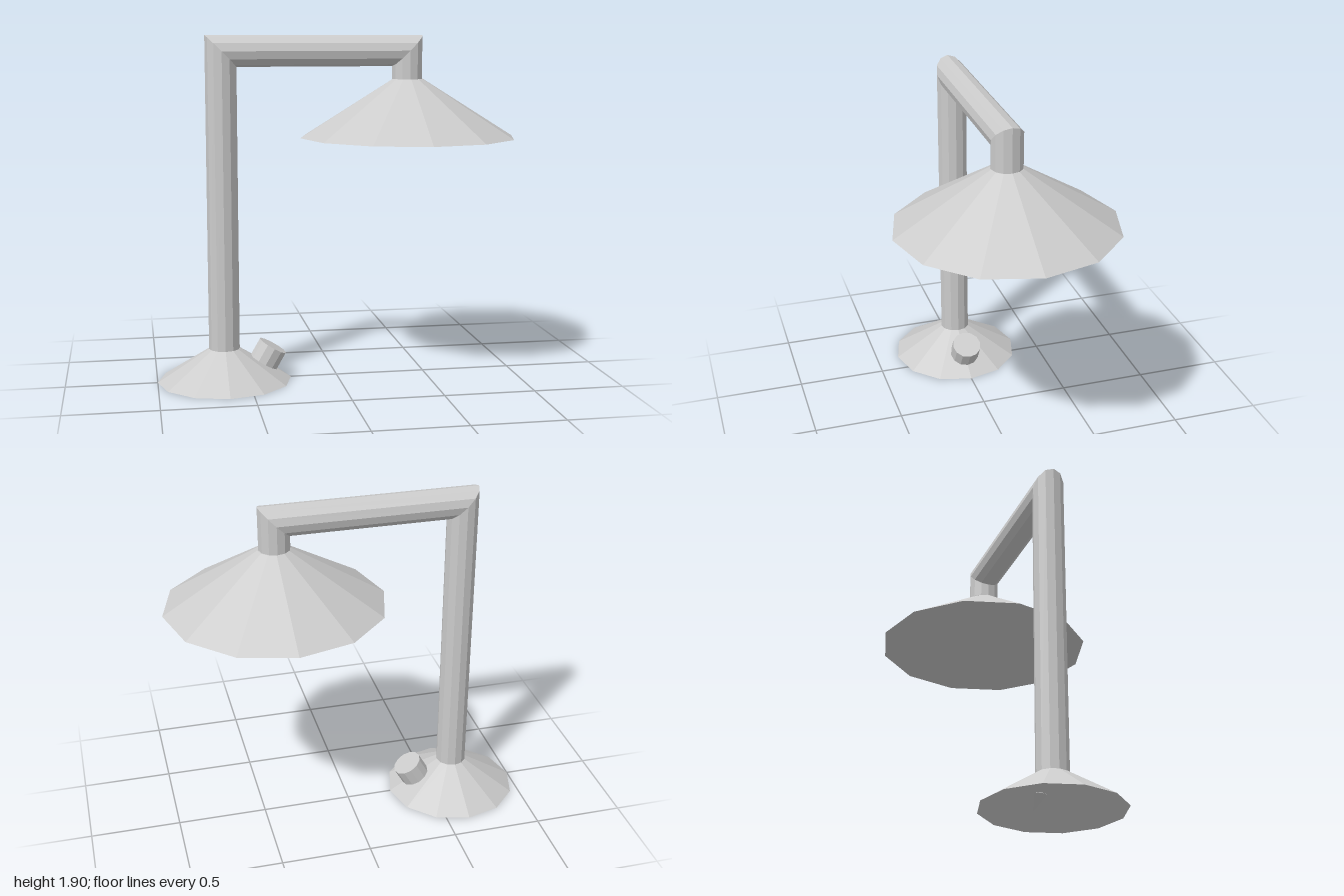
import * as THREE from 'three';

const SIDES = 12;
const PIPE = 0.085;
const POLE_X = -0.63, NECK_X = 0.395, ARM_Y = 1.815;
const BASE_TOP = 0.18, SHADE_TOP = 1.66, SHADE_BOTTOM = 1.34;

const solid = new THREE.MeshStandardMaterial({ color: 0xcccccc, flatShading: true });
const open = new THREE.MeshStandardMaterial({ color: 0xcccccc, flatShading: true, side: THREE.DoubleSide });

function add(group, name, geometry, material, x, y) {
  const mesh = new THREE.Mesh(geometry, material);
  mesh.name = name;
  mesh.position.set(x, y, 0);
  group.add(mesh);
  return mesh;
}

// Pipe with sharp mitred corners: each ring lies in the mitre plane of its corner.
// out = direction in which the outer side of the bend is shifted.
function mitredPipe() {
  const rings = [
    { x: POLE_X, y: BASE_TOP, out: [-1, 0] },
    { x: POLE_X, y: ARM_Y, out: [-1, 1] },
    { x: NECK_X, y: ARM_Y, out: [1, 1] },
    { x: NECK_X, y: SHADE_TOP, out: [1, 0] },
  ];
  const positions = [], index = [];
  for (const { x, y, out } of rings) {
    for (let i = 0; i < SIDES; i++) {
      const a = (i / SIDES) * Math.PI * 2;
      const u = PIPE * Math.cos(a);
      positions.push(x + out[0] * u, y + out[1] * u, PIPE * Math.sin(a));
    }
  }
  for (let r = 0; r < rings.length - 1; r++) {
    for (let i = 0; i < SIDES; i++) {
      const j = (i + 1) % SIDES;
      const a = r * SIDES + i, b = r * SIDES + j;
      const c = a + SIDES, d = b + SIDES;
      index.push(a, b, d, a, d, c);
    }
  }
  const geometry = new THREE.BufferGeometry();
  geometry.setAttribute('position', new THREE.Float32BufferAttribute(positions, 3));
  geometry.setIndex(index);
  geometry.computeVertexNormals();
  return geometry;
}

export function createModel() {
  const lamp = new THREE.Group();
  lamp.name = 'deskLamp';

  // Hollow conical foot
  add(lamp, 'base', new THREE.CylinderGeometry(PIPE, 0.37, BASE_TOP, SIDES, 1, true), open, POLE_X, BASE_TOP / 2);

  // Pole, arm and neck in one bent pipe
  add(lamp, 'stand', mitredPipe(), open, 0, 0);

  // Shade, closed underneath
  const shadeHeight = SHADE_TOP - SHADE_BOTTOM;
  add(lamp, 'shade', new THREE.CylinderGeometry(PIPE, 0.6, shadeHeight, SIDES), solid, 0.4, SHADE_BOTTOM + shadeHeight / 2);

  // Switch standing square on the slope of the foot
  const knob = add(lamp, 'switchKnob', new THREE.CylinderGeometry(PIPE, PIPE, 0.103, SIDES), solid, -0.385, 0.138);
  knob.rotation.z = -Math.PI / 6;

  return lamp;
}
